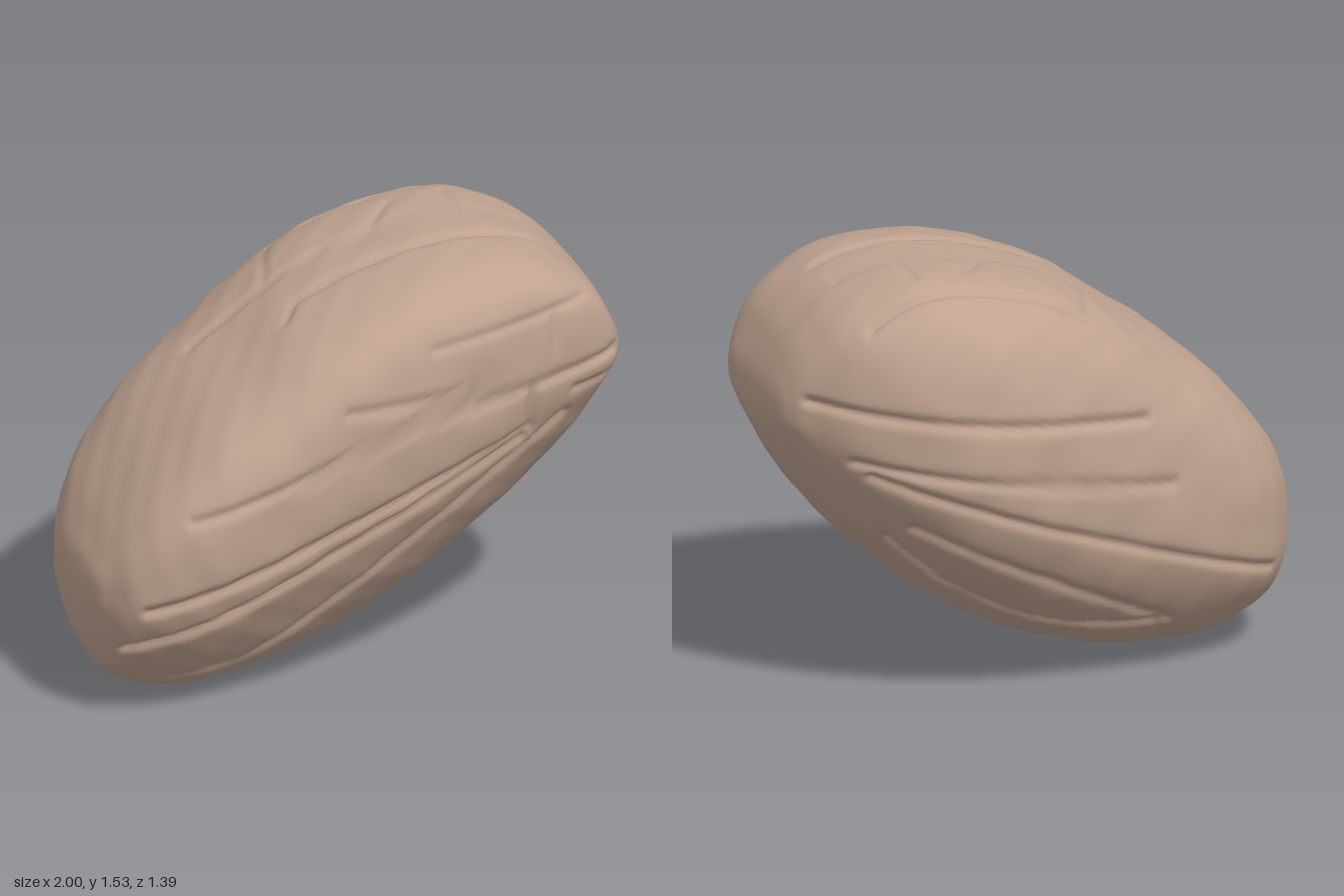
import * as THREE from 'three';

// Cross-sections along x: [x, top y, bottom y, back z, front z]
const stations = [
  [-1, 0.48, 0.48, 0.22, 0.22], [-0.985, 0.57, 0.31, 0, 0.41],
  [-0.95, 0.64, 0.2, -0.14, 0.49], [-0.9, 0.73, 0.11, -0.25, 0.57],
  [-0.8, 0.86, 0.05, -0.38, 0.64], [-0.6, 1.06, 0, -0.5, 0.69],
  [-0.4, 1.2, 0.01, -0.57, 0.68], [-0.2, 1.34, 0.04, -0.62, 0.65],
  [0, 1.44, 0.1, -0.66, 0.62], [0.2, 1.5, 0.19, -0.69, 0.58],
  [0.4, 1.53, 0.31, -0.685, 0.535], [0.6, 1.52, 0.46, -0.62, 0.48],
  [0.8, 1.43, 0.66, -0.49, 0.41], [0.9, 1.33, 0.8, -0.37, 0.36],
  [0.96, 1.22, 0.91, -0.29, 0.3], [0.99, 1.14, 0.98, -0.2, 0.22], [1, 1.06, 1.06, 0, 0],
];

// Carved lines per side: [u0, v0, u1, v1, depth]; sides use (x, y), top and underside use (x, z)
const grooves = {
  front: [
    [0.6, 0.91, -0.85, 0.47, 0.022], [0.58, 0.87, -0.9, 0.29, 0.024],
    [0.75, 0.92, -0.42, 0.15, 0.018], [-0.42, 0.15, -0.7, 0.12, 0.012],
    [0.95, 1.12, 0.1, 1.03, 0.016], [0.1, 1.03, -0.7, 0.81, 0.016],
    [0.36, 1.12, -0.12, 1.13, 0.014], [0.36, 1.13, 0.36, 1.05, 0.012],
    [0.22, 1.3, 0.85, 1.36, 0.01], [0.6, 1.08, 0.6, 0.9, 0.018],
    [0.78, 1.02, 0.95, 1.02, 0.012], [0.69, 1.34, 0.69, 1.22, 0.008],
  ],
  back: [
    [0.92, 1.13, -0.25, 1, 0.02], [0.8, 0.93, -0.35, 0.75, 0.016],
    [0.75, 0.88, -0.8, 0.33, 0.016], [0.6, 0.68, -0.4, 0.2, 0.014],
  ],
  top: [
    [-0.08, -0.41, 0.72, -0.43, 0.016], [-0.47, -0.09, 0.72, -0.09, 0.014],
    [-0.16, 0.13, 0.72, 0.11, 0.018], [-0.16, 0.13, -0.22, 0.21, 0.01],
    [0.17, -0.09, 0.3, -0.26, 0.009], [0.51, -0.12, 0.51, -0.3, 0.009],
    [-0.2, -0.1, -0.1, -0.4, 0.007],
  ],
  underside: [
    [-0.6, 0.15, 0.65, 0.15, 0.02], [-0.5, -0.08, 0.7, -0.08, 0.018],
    [-0.35, -0.4, 0.65, -0.4, 0.018], [-0.1, -0.08, 0, -0.22, 0.01],
  ],
};

const { lerp, clamp, smoothstep } = THREE.MathUtils;

// Deepest carve at (u, v), fading with distance from each line
function carve(lines, u, v) {
  let depth = 0;
  for (const [u0, v0, u1, v1, d] of lines) {
    const du = u1 - u0, dv = v1 - v0;
    const t = clamp(((u - u0) * du + (v - v0) * dv) / (du * du + dv * dv), 0, 1);
    const r = Math.hypot(u - u0 - t * du, v - v0 - t * dv) / 0.018;
    depth = Math.max(depth, d * Math.exp(-r * r));
  }
  return depth;
}

function stoneGeometry(rings = 260, sides = 270) {
  const angles = stations.map(s => Math.acos(-s[0]));
  const section = new THREE.CubicInterpolant(angles, stations.flatMap(s => s.slice(1)), 4, []);
  const positions = [], indices = [];

  for (let i = 0; i <= rings; i++) {
    const u = (Math.PI * i) / rings;
    const [top, bottom, back, front] = section.evaluate(u);
    const midZ = (front + back) / 2, halfZ = (front - back) / 2;
    const midY = (top + bottom) / 2, halfY = (top - bottom) / 2;
    for (let j = 0; j < sides; j++) {
      const t = (2 * Math.PI * j) / sides, c = Math.cos(t), s = Math.sin(t);
      // Boxy upper shoulders, leaner below; the front is widest high up
      const toFront = smoothstep(c, -0.7, 0.7), toTop = smoothstep(s, -0.7, 0.7);
      const upper = lerp(2.8, lerp(2.8, 4.2, i / rings), toFront);
      const lower = lerp(2.1, 1.75, toFront);
      const power = 2 / lerp(lower, upper, toTop);
      const wideY = midY + halfY * (0.22 + 0.18 * c);
      const z = Math.sign(c) * Math.abs(c) ** power;
      const y = Math.sign(s) * Math.abs(s) ** power;
      positions.push(-Math.cos(u), wideY + y * (s > 0 ? top - wideY : wideY - bottom), midZ + halfZ * z);
    }
  }
  for (let i = 0; i < rings; i++) {
    for (let j = 0; j < sides; j++) {
      const k = (j + 1) % sides, a = i * sides, b = a + sides;
      if (i < rings - 1) indices.push(a + j, b + j, b + k);
      if (i > 0) indices.push(a + j, b + k, a + k);
    }
  }

  const geometry = new THREE.BufferGeometry();
  geometry.setAttribute('position', new THREE.Float32BufferAttribute(positions, 3));
  geometry.setIndex(indices);
  geometry.computeVertexNormals();

  // Press the grooves and a faint uneven surface in along the normals
  const p = geometry.attributes.position, n = geometry.attributes.normal;
  const point = new THREE.Vector3(), normal = new THREE.Vector3();
  const facing = w => smoothstep(w, 0.35, 0.65);
  for (let i = sides; i < p.count - sides; i++) {
    point.fromBufferAttribute(p, i);
    normal.fromBufferAttribute(n, i);
    const { x, y, z } = point;
    const depth = Math.max(
      facing(normal.z) * carve(grooves.front, x, y),
      facing(-normal.z) * carve(grooves.back, x, y),
      facing(normal.y) * carve(grooves.top, x, z),
      facing(-normal.y) * carve(grooves.underside, x, z));
    const fade = Math.min(1, (1 - Math.abs(x)) * 10);
    const bumps = 0.003 * Math.sin(13 * x + 5 * z) * Math.sin(17 * y - 4 * x)
      + 0.002 * Math.sin(31 * z + 9 * y) * Math.sin(29 * x + 11 * y);
    point.addScaledVector(normal, bumps * fade - depth);
    p.setXYZ(i, point.x, point.y, point.z);
  }
  geometry.computeVertexNormals();
  return geometry;
}

export function createModel() {
  const group = new THREE.Group();
  group.name = 'carvedStone';
  const stone = new THREE.Mesh(stoneGeometry(), new THREE.MeshStandardMaterial({ color: 0xbfa28f }));
  stone.name = 'stone';
  group.add(stone);
  return group;
}
